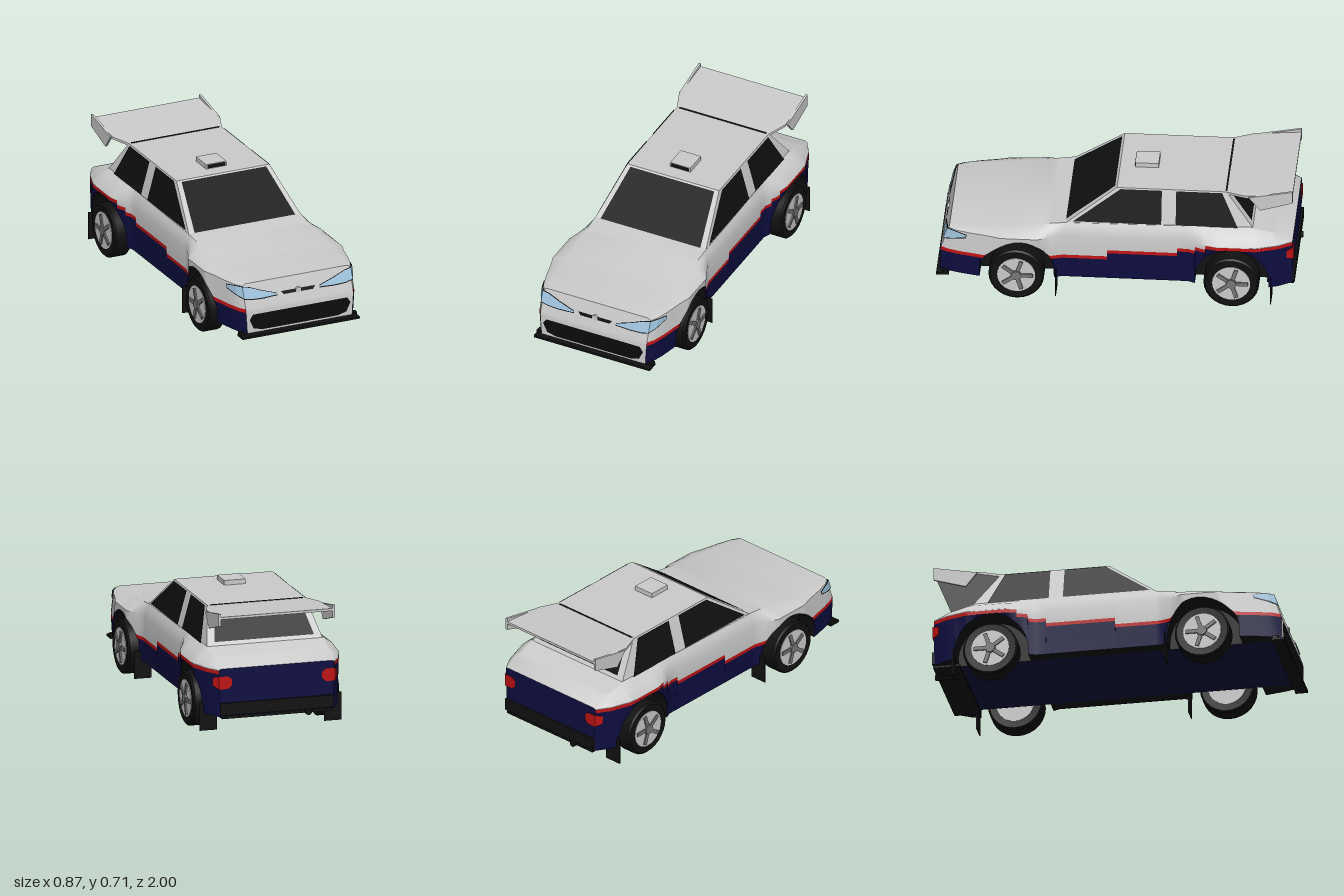
import * as THREE from 'three';
import { toCreasedNormals } from 'three/addons/utils/BufferGeometryUtils.js';
import { ConvexGeometry } from 'three/addons/geometries/ConvexGeometry.js';

const mat = (color, side = THREE.FrontSide) => new THREE.MeshStandardMaterial({ color, side });
const GREY = mat(0xcccccc), NAVY = mat(0x0e0e42), RED = mat(0xc01414), BLACK = mat(0x111111);
const RIM = mat(0xcccccc), SPOKE = mat(0x777777), GLASS = mat(0x0e1012, THREE.DoubleSide);
const TRIM = mat(0x0c0c0c, THREE.DoubleSide), LENS = mat(0x9fc4de, THREE.DoubleSide);

// piecewise-linear lookup in a table of [key, value], keys descending
function pw(table, k) {
  if (k >= table[0][0]) return table[0][1];
  for (let i = 1; i < table.length; i++) {
    const [k0, v0] = table[i - 1], [k1, v1] = table[i];
    if (k >= k1) return v0 + (v1 - v0) * (k0 - k) / (k0 - k1);
  }
  return table[table.length - 1][1];
}

// body rules along z
const WHEEL_Z = [0.55, -0.645], ARCH_R = 0.205, ARCH_Y = 0.16, FLOOR = 0.12;
const width = [[0.98, 0.33], [0.94, 0.355], [0.86, 0.38], [0.77, 0.4], [0.68, 0.425], [0.45, 0.425], [0.38, 0.395],
  [0.3, 0.37], [-0.4, 0.37], [-0.48, 0.405], [-0.56, 0.425], [-0.78, 0.425], [-0.9, 0.385], [-0.98, 0.335]];
const topX = [[0.98, 0.31], [0.9, 0.33], [0.28, 0.345], [-0.8, 0.34], [-0.98, 0.32]];
const topY = [[0.98, 0.398], [0.7, 0.415], [0.28, 0.46], [-0.75, 0.472], [-0.88, 0.44], [-0.98, 0.395]];
const steps = [0.05, -0.34, -0.44, -0.5];
const splitY = z => [0.245, 0.285, 0.315, 0.34, 0.365][steps.filter(s => z < s).length];
const lean = y => Math.max(0, y - 0.25) * 0.35;
function archY(z) {
  const c = WHEEL_Z.find(w => Math.abs(z - w) < ARCH_R);
  return c === undefined ? FLOOR : ARCH_Y + Math.sqrt(ARCH_R ** 2 - (z - c) ** 2);
}

// half cross-section, floor centre to top centre
function section(z) {
  const w = pw(width, z), a = archY(z), s = splitY(z), tx = pw(topX, z), ty = pw(topY, z), sh = 0.388;
  const k = THREE.MathUtils.clamp((z - 0.3) / 0.45, 0, 1);
  return [[0, FLOOR], [0.29, FLOOR], [0.29, a], [w - 0.008, a], [w, Math.max(s, a)], [w, Math.max(s + 0.02, a)],
    [w, sh], [w + (tx - w) * 0.4, sh + (ty - sh) * 0.6], [tx, ty], [0, ty]]
    .map(([x, y]) => [x, y, z - k * lean(y)]);
}

function geometry(pos, crease = 0.5) {
  const g = new THREE.BufferGeometry();
  g.setAttribute('position', new THREE.Float32BufferAttribute(pos, 3));
  g.computeVertexNormals();
  return crease ? toCreasedNormals(g, crease) : g;
}
const quad = (out, a, b, c, d) => out.push(...a, ...b, ...c, ...a, ...c, ...d);
const flip = ([x, y, z]) => [-x, y, z];

export function createModel() {
  const car = new THREE.Group();
  car.name = 'rallyCar';
  const add = (name, geo, material, parent = car) => {
    const m = new THREE.Mesh(geo, material);
    m.name = name;
    parent.add(m);
    return m;
  };
  const box = (name, material, w, h, d, x, y, z, parent) =>
    add(name, new THREE.BoxGeometry(w, h, d), material, parent).position.set(x, y, z);
  const hull = (name, material, pts) =>
    add(name, new ConvexGeometry(pts.map(p => new THREE.Vector3(...p))), material);
  const panel = (name, material, pts) => {
    const pos = [];
    for (let i = 1; i < pts.length - 1; i++) pos.push(...pts[0], ...pts[i], ...pts[i + 1]);
    add(name, geometry(pos, 0), material);
  };

  // body shell: stations along z, split into colour bands
  const zs = width.concat(topX, topY).map(p => p[0]);
  steps.forEach(s => zs.push(s + 0.0005, s - 0.0005));
  for (const c of WHEEL_Z) {
    zs.push(c + ARCH_R + 0.0005, c - ARCH_R - 0.0005);
    for (let i = 0; i <= 16; i++) zs.push(c + (ARCH_R - 0.0003) * Math.cos(i * Math.PI / 16));
  }
  const sections = [...new Set(zs)].sort((a, b) => b - a).map(section);
  const bands = [['floor', 0, 1, NAVY], ['wheelWells', 1, 3, BLACK], ['lowerSides', 3, 4, NAVY],
    ['sideStripe', 4, 5, RED], ['upperBody', 5, 9, GREY]];
  for (const [name, from, to, material] of bands) {
    const pos = [];
    for (let i = 0; i < sections.length - 1; i++) {
      for (let j = from; j < to; j++) {
        const a = sections[i][j], b = sections[i][j + 1], c = sections[i + 1][j + 1], d = sections[i + 1][j];
        quad(pos, a, d, c, b);
        quad(pos, flip(a), flip(b), flip(c), flip(d));
      }
    }
    add(name, geometry(pos), material);
  }
  const nose = [], tail = [], first = sections[0], last = sections[sections.length - 1];
  for (let j = 3; j < 8; j++) {
    quad(nose, first[j], first[j + 1], flip(first[j + 1]), flip(first[j]));
    quad(tail, last[j], flip(last[j]), flip(last[j + 1]), last[j + 1]);
  }
  add('nosePanel', geometry(nose), GREY);
  add('tailPanel', geometry(tail), NAVY);

  // cabin and glass
  const cabin = [];
  for (const s of [1, -1]) {
    cabin.push([s * 0.345, 0.455, 0.285], [s * 0.34, 0.455, -0.77], [s * 0.285, 0.665, 0], [s * 0.285, 0.665, -0.61]);
  }
  hull('cabin', GREY, cabin);
  panel('windshield', GLASS, [[-0.31, 0.463, 0.281], [0.31, 0.463, 0.281], [0.26, 0.66, 0.012], [-0.26, 0.66, 0.012]]);
  panel('rearWindow', GLASS, [[0.29, 0.49, -0.749], [-0.29, 0.49, -0.749], [-0.25, 0.65, -0.627], [0.25, 0.65, -0.627]]);
  const sideGlass = {
    frontSideWindow: [[0.24, 0.47], [-0.02, 0.66], [-0.25, 0.66], [-0.25, 0.47]],
    rearSideWindow: [[-0.33, 0.47], [-0.33, 0.66], [-0.585, 0.66], [-0.675, 0.47]],
  };
  for (const s of [1, -1]) {
    for (const name in sideGlass) {
      panel(name, GLASS, sideGlass[name].map(([z, y]) => [s * (0.349 - (y - 0.455) * 0.0575 / 0.21), y, z]));
    }
  }

  // roof vent
  box('roofVent', GREY, 0.125, 0.03, 0.13, 0, 0.677, -0.15);
  box('roofVentOpening', BLACK, 0.11, 0.02, 0.004, 0, 0.678, -0.085);

  // rear wing with end plates
  const wing = [];
  for (const s of [1, -1]) {
    for (const t of [0, 0.014]) {
      wing.push([s * 0.285, 0.665 - t, -0.605], [s * 0.33, 0.67 - t, -0.72], [s * 0.33, 0.692 - t, -0.98]);
    }
  }
  hull('rearWing', GREY, wing);
  const plate = [[-0.735, 0.665], [-0.8, 0.585], [-0.98, 0.64], [-0.98, 0.712]];
  for (const s of [1, -1]) {
    hull('wingEndPlate', GREY, plate.flatMap(([z, y]) => [[s * 0.325, y, z], [s * 0.338, y, z]]));
  }
  box('roofGap', BLACK, 0.54, 0.004, 0.01, 0, 0.666, -0.608);

  // front grilles
  const face = (y, e = 0.004) => 0.98 - lean(y) + e;
  const half = [[0.29, 0.23], [0.31, 0.2], [0.285, 0.147], [0.23, 0.133]];
  const outline = half.concat(half.map(([x, y]) => [-x, y]).reverse());
  panel('lowerGrille', TRIM, outline.map(([x, y]) => [x, y, face(y)]));
  panel('upperGrille', TRIM, [[-0.105, 0.328], [-0.09, 0.31], [0.09, 0.31], [0.105, 0.328]].map(([x, y]) => [x, y, face(y)]));
  const stud = add('grilleStud', new THREE.CylinderGeometry(0.018, 0.018, 0.012, 6), GREY);
  stud.rotation.x = Math.PI / 2;
  stud.position.set(0, 0.32, 0.957);

  // headlights wrap round the nose: columns of [x, low y, high y]
  const byWidth = width.slice(0, 5).map(([z, w]) => [w, z]).reverse();
  const columns = [[0.13, 0.317, 0.322], [0.22, 0.313, 0.35], [0.29, 0.316, 0.376], [0.33, 0.325, 0.385],
    [0.355, 0.338, 0.384], [0.378, 0.358, 0.372]];
  for (const s of [1, -1]) {
    for (const [name, material, grow, lift] of [['headlightSurround', TRIM, 0.007, 0.004], ['headlight', LENS, 0, 0.008]]) {
      const point = (x, y) => [s * (x + (x > 0.3 ? lift / 2 : 0)), y, pw(byWidth, x) - lean(y) + lift];
      const pos = [];
      for (let i = 0; i < columns.length - 1; i++) {
        const [x0, l0, h0] = columns[i], [x1, l1, h1] = columns[i + 1];
        quad(pos, point(x0, l0 - grow), point(x1, l1 - grow), point(x1, h1 + grow / 3), point(x0, h0 + grow / 3));
      }
      add(name, geometry(pos, 0), material);
    }
    // tail lights wrap round the rear corners
    const lamp = [];
    for (const [x, z, y0, y1] of [[0.262, -0.986, 0.3, 0.335], [0.285, -0.986, 0.28, 0.352],
      [0.338, -0.986, 0.28, 0.352], [0.362, -0.947, 0.295, 0.34], [0.3, -0.95, 0.29, 0.34]]) {
      lamp.push([s * x, y0, z], [s * x, y1, z]);
    }
    hull('tailLight', RED, lamp);
  }

  // splitter, rear bumper, diffuser and exhaust
  box('frontSplitter', BLACK, 0.72, 0.013, 0.07, 0, 0.103, 0.965);
  for (const x of [-0.34, 0.34]) box('splitterMount', BLACK, 0.04, 0.02, 0.03, x, 0.115, 0.95);
  box('rearBumper', BLACK, 0.66, 0.07, 0.02, 0, 0.165, -0.982);
  box('diffuser', BLACK, 0.64, 0.015, 0.15, 0, 0.117, -0.912);
  const pipe = add('exhaust', new THREE.CylinderGeometry(0.018, 0.018, 0.17, 10), BLACK);
  pipe.rotation.x = Math.PI / 2;
  pipe.position.set(-0.18, 0.115, -0.915);

  // wheels and mud flaps
  const tyre = [[0.106, -0.05], [0.145, -0.052], [0.155, -0.042], [0.155, 0.042], [0.145, 0.052], [0.106, 0.05], [0.106, -0.05]]
    .map(p => new THREE.Vector2(...p));
  for (const z of WHEEL_Z) {
    for (const s of [1, -1]) {
      const wheel = new THREE.Group();
      wheel.name = z > 0 ? 'frontWheel' : 'rearWheel';
      wheel.position.set(s * 0.372, 0.155, z);
      wheel.rotation.z = -s * Math.PI / 2;
      add('tyre', toCreasedNormals(new THREE.LatheGeometry(tyre, 28), 0.5), BLACK, wheel);
      add('rim', new THREE.CylinderGeometry(0.106, 0.106, 0.106, 28), RIM, wheel);
      add('hub', new THREE.CylinderGeometry(0.028, 0.032, 0.02, 10), SPOKE, wheel).position.y = 0.055;
      for (let i = 0; i < 5; i++) {
        const arm = new THREE.Group();
        arm.name = 'spoke';
        arm.rotation.y = i * Math.PI * 2 / 5 + Math.PI / 2;
        box('spokeBar', SPOKE, 0.085, 0.012, 0.022, 0.05, 0.055, 0, arm);
        wheel.add(arm);
      }
      car.add(wheel);
      box('mudFlap', BLACK, 0.1, 0.16, 0.006, s * 0.362, 0.1, z - 0.217);
    }
  }
  return car;
}
